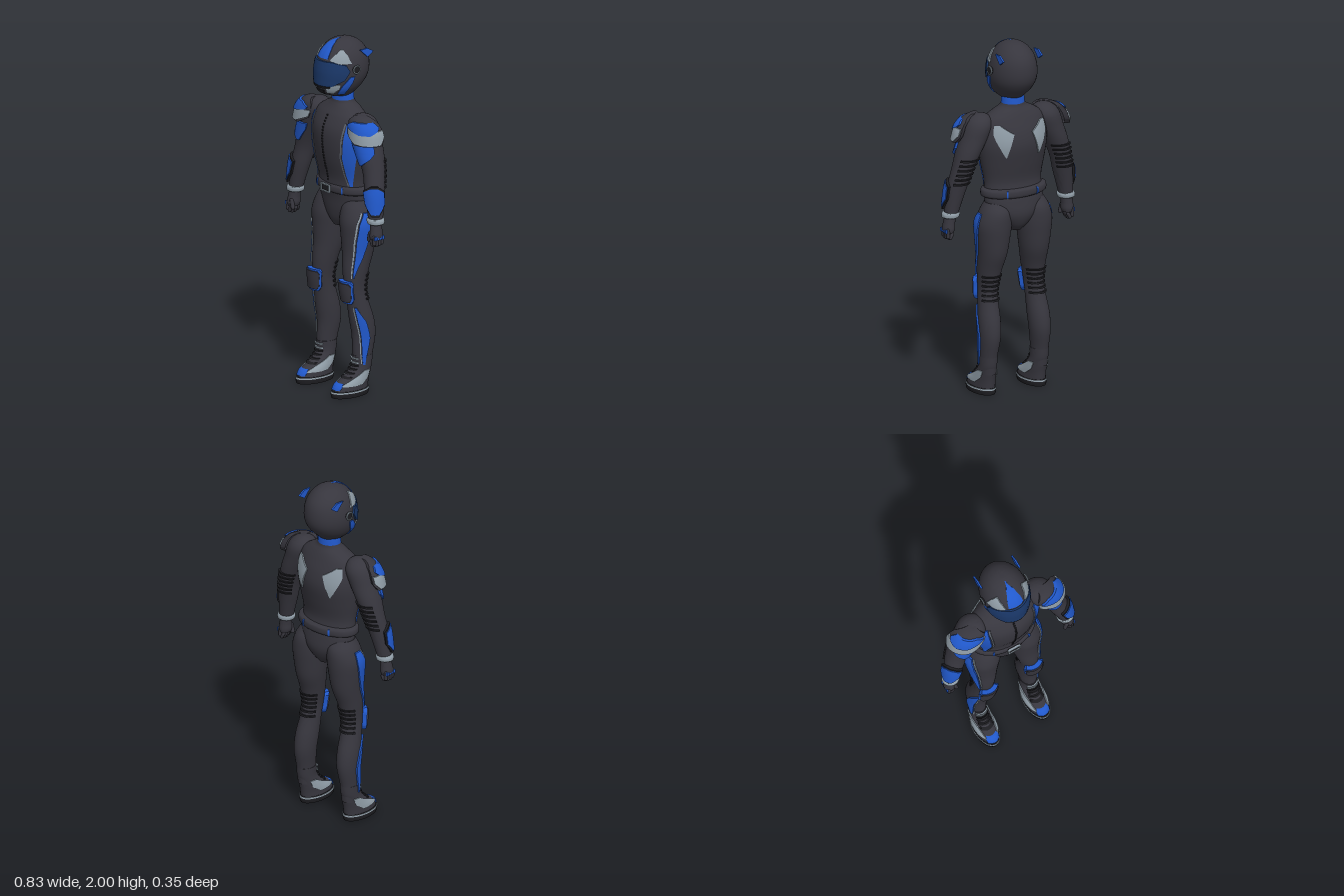
import * as THREE from 'three';
import { toCreasedNormals } from 'three/addons/utils/BufferGeometryUtils.js';

const paint = (name, color) => Object.assign(new THREE.MeshStandardMaterial({ color, side: THREE.DoubleSide }), { name });

// Cross-sections are [y, centreX, centreZ, radiusX, radiusZ], listed from top to bottom.
const TORSO = [[1.66, 0, -.02, .062, .055], [1.635, 0, -.02, .078, .062], [1.61, 0, -.02, .125, .077],
  [1.57, 0, -.015, .178, .1], [1.5, 0, -.012, .2, .128], [1.42, 0, -.015, .203, .135], [1.32, 0, -.013, .19, .12],
  [1.22, 0, -.015, .172, .098], [1.16, 0, -.02, .172, .1], [1.1, 0, -.03, .175, .1], [1.03, 0, -.035, .15, .1],
  [.97, 0, -.03, .09, .085], [.93, 0, -.025, .04, .06]];
const LEG = [[1.1, .1, -.03, .075, .07], [1.05, .115, -.035, .088, .095], [.98, .125, -.03, .1, .105],
  [.9, .128, -.028, .093, .1], [.8, .13, -.022, .08, .09], [.7, .137, -.002, .066, .075], [.6, .143, .005, .053, .063],
  [.52, .148, -.008, .055, .063], [.42, .153, -.03, .06, .072], [.33, .156, -.042, .057, .07],
  [.22, .16, -.032, .047, .06], [.12, .16, -.03, .042, .05]];
const BOOT = [[.22, .16, -.03, .049, .062], [.17, .16, -.027, .048, .06], [.14, .159, -.015, .05, .064],
  [.1, .158, .012, .056, .082], [.07, .158, .04, .06, .105], [.03, .158, .052, .062, .113]];
const SOLE = [[.038, .158, .053, .064, .117], [.02, .158, .053, .066, .121], [0, .158, .053, .063, .117]];
const ARM = [[1.61, .2, -.005, .02, .02], [1.6, .2, -.005, .045, .045], [1.575, .205, -.005, .07, .07],
  [1.54, .213, -.005, .081, .082], [1.48, .235, -.005, .078, .08], [1.4, .27, -.005, .07, .075],
  [1.3, .305, 0, .06, .062], [1.2, .33, .015, .056, .055], [1.1, .35, .025, .045, .045], [1.03, .362, .03, .038, .038]];
const PAD = [[1.615, .2, 0, .04, .04], [1.59, .21, 0, .085, .075], [1.54, .235, 0, .105, .09], [1.45, .255, 0, .11, .1]];
const PALM = [[1.04, .362, .03, .033, .03], [1, .368, .033, .033, .034], [.965, .371, .035, .035, .038], [.945, .371, .035, .028, .034]];
const HELMET = [[2, 0, -.02, .004, .004], [1.992, 0, -.02, .042, .05], [1.965, 0, -.02, .082, .1], [1.915, 0, -.019, .115, .14],
  [1.85, 0, -.016, .13, .156], [1.79, 0, -.01, .128, .154], [1.74, 0, .004, .112, .138], [1.705, 0, .012, .088, .11], [1.68, 0, 0, .06, .07]];

// Smooth section at height y
function section(secs, y) {
  let i = 0;
  while (i < secs.length - 2 && y < secs[i + 1][0]) i++;
  const a = secs[i], b = secs[i + 1], h = b[0] - a[0], t = THREE.MathUtils.clamp((y - a[0]) / h, 0, 1);
  const slope = (n, k) => {
    const p = secs[Math.max(n - 1, 0)], q = secs[Math.min(n + 1, secs.length - 1)];
    return (q[k] - p[k]) / (q[0] - p[0]) * h;
  };
  return a.map((v, k) => (2 * t ** 3 - 3 * t * t + 1) * v + (t ** 3 - 2 * t * t + t) * slope(i, k)
    + (3 * t * t - 2 * t ** 3) * b[k] + (t ** 3 - t * t) * slope(i + 1, k));
}

// Angle 0 faces the front, 90 faces +x
function onSurface(secs, y, deg, off = 0) {
  const s = section(secs, y), a = THREE.MathUtils.degToRad(deg);
  return [s[1] + (s[3] + off) * Math.sin(a), y, s[2] + (s[4] + off) * Math.cos(a)];
}

function grid(rows) {
  const g = new THREE.BufferGeometry(), w = rows[0].length, index = [];
  for (let i = 0; i < rows.length - 1; i++) for (let j = 0; j < w - 1; j++) {
    const a = i * w + j, c = a + w;
    index.push(a, c, a + 1, a + 1, c, c + 1);
  }
  g.setAttribute('position', new THREE.Float32BufferAttribute(rows.flat(2), 3));
  g.setIndex(index);
  return toCreasedNormals(g, .75);
}

const between = (list, n) => list.flatMap((a, i) => i === list.length - 1 ? [a]
  : Array.from({ length: n }, (_, k) => a.map((v, m) => v + (list[i + 1][m] - v) * k / n)));

// Closed body skinned over the cross-sections
function loft(secs) {
  const ring = s => Array.from({ length: 37 }, (_, j) => onSurface(secs, s[0], j * 10));
  const cap = s => Array.from({ length: 37 }, () => [s[1], s[0], s[2]]);
  return grid([cap(secs[0]), ...between(secs, 4).map(ring), cap(secs[secs.length - 1])]);
}

// Thin plate hugging a body; rows are [y, startAngle, endAngle]
function plate(secs, rows, off = .006, sink = -.003) {
  const line = ([y, a, b], o) => {
    const mid = Array.from({ length: 11 }, (_, j) => onSurface(secs, y, a + (b - a) * j / 10, o));
    return [onSurface(secs, y, a, sink), ...mid, onSurface(secs, y, b, sink)];
  };
  const all = between(rows, 4);
  return grid([line(all[0], sink), ...all.map(r => line(r, off)), line(all[all.length - 1], sink)]);
}

function mirrored(geo) {
  const g = (geo.index ? geo.toNonIndexed() : geo.clone()).scale(-1, 1, 1);
  const n = g.attributes.position.count;
  g.setIndex(Array.from({ length: n }, (_, i) => i % 3 === 0 ? i : i % 3 === 1 ? i + 1 : i - 1));
  return g;
}

export function createModel() {
  const root = new THREE.Group();
  const suit = paint('charcoal suit', 0x37363e), black = paint('black rubber', 0x1d1d21), blue = paint('racing blue', 0x2159cc);
  const silver = paint('silver grey', 0x8f9ca6), glass = paint('navy visor', 0x1a3768), grey = paint('grey stitching', 0x5c626b);
  const add = (name, geo, mat) => {
    const m = new THREE.Mesh(geo, mat);
    m.name = name;
    root.add(m);
  };
  const pair = (name, geo, mat) => {
    add(name + 'Left', geo, mat);
    add(name + 'Right', mirrored(geo), mat);
  };
  const box = (w, h, d, x, y, z) => new THREE.BoxGeometry(w, h, d).translate(x, y, z);

  // Torso, collar and back panels
  add('torso', loft(TORSO), suit);
  add('collar', loft([[1.71, 0, -.02, .058, .05], [1.69, 0, -.02, .064, .055], [1.645, 0, -.02, .067, .058]]), blue);
  const side = [[1.55, 49, 57], [1.45, 43, 66], [1.35, 41, 70], [1.25, 47, 66], [1.185, 55, 62]];
  pair('torsoStripe', plate(TORSO, side), blue);
  pair('torsoStitching', plate(TORSO, side.map(([y, a]) => [y, a - 5, a - 2]), .004), grey);
  pair('backPanel', plate(TORSO, [[1.55, 128, 140], [1.5, 128, 164], [1.46, 134, 160], [1.37, 149, 151]]), silver);
  for (let y = 1.2; y < 1.58; y += .016) {
    const [x, , z] = onSurface(TORSO, y, 0);
    add('zipTooth', box(.01, .009, .008, x, y, z), black);
  }

  // Belt
  const BELT = [[1.18, 0, -.025, .178, .105], [1.172, 0, -.026, .192, .115], [1.138, 0, -.026, .194, .116], [1.13, 0, -.027, .178, .105]];
  add('belt', loft(BELT), suit);
  for (const a of [33, 150]) pair('beltLoop', plate(BELT, [[1.175, a, a + 3], [1.135, a, a + 3]], .005), blue);
  for (const s of [-1, 1]) {
    add('buckleSide', box(.007, .044, .012, s * .035, 1.155, .1), silver);
    add('buckleBar', box(.077, .007, .012, 0, 1.155 + s * .019, .1), silver);
  }
  add('buckleCentre', box(.064, .034, .016, 0, 1.155, .092), black);

  // Legs
  pair('leg', loft(LEG), suit);
  const thigh = [[1.04, 72, 96], [.98, 58, 98], [.88, 50, 88], [.78, 48, 74], [.67, 46, 52]];
  const shin = [[.5, 38, 48], [.42, 42, 78], [.32, 48, 88], [.24, 55, 84], [.17, 62, 74]];
  for (const [name, rows] of [['thigh', thigh], ['shin', shin]]) {
    pair(name + 'Stripe', plate(LEG, rows, .009), blue);
    pair(name + 'Stitching', plate(LEG, rows.map(([y, a]) => [y, a - 9, a - 4]), .005), silver);
  }
  pair('kneePadRim', plate(LEG, [[.652, -38, 38], [.635, -50, 50], [.55, -46, 46], [.525, -32, 32]], .025), blue);
  pair('kneePad', plate(LEG, [[.642, -32, 32], [.625, -42, 42], [.555, -38, 38], [.535, -27, 27]], .032), suit);
  for (let y = .54; y < .68; y += .027) pair('kneeRib', plate(LEG, [[y + .005, 115, 245], [y - .005, 115, 245]], .008), black);

  // Boots
  pair('boot', loft(BOOT), suit);
  pair('sole', loft(SOLE), black);
  pair('soleLine', plate(SOLE, [[.035, 0, 180], [.027, 0, 180]], .003), silver);
  pair('soleLineInner', plate(SOLE, [[.035, 180, 360], [.027, 180, 360]], .003), silver);
  const heel = [[.14, 85, 120], [.1, 50, 122], [.065, 30, 105]];
  pair('bootPanel', plate(BOOT, heel), silver);
  pair('bootPanelInner', plate(BOOT, heel.map(([y, a, b]) => [y, -b, -a])), silver);
  pair('toeCap', plate(BOOT, [[.08, -30, 30], [.065, -36, 36], [.046, -32, 32]], .007), blue);
  for (const y of [.105, .125, .145, .165]) pair('lace', plate(BOOT, [[y + .004, -42, 42], [y - .004, -42, 42]], .009), black);
  for (const y of [.182, .205]) pair('ankleStrap', plate(BOOT, [[y + .004, -40, 40], [y - .004, -40, 40]], .008), silver);

  // Arms and shoulder armour
  pair('arm', loft(ARM), suit);
  pair('shoulderPad', plate(PAD, [[1.61, -10, 95], [1.58, -30, 112], [1.53, -38, 118], [1.5, -34, 116], [1.465, 0, 98]], 0, -.03), suit);
  pair('shoulderBand', plate(PAD, [[1.545, -36, 112], [1.51, -34, 112], [1.472, 8, 92]], .007), silver);
  pair('shoulderPlate', plate(PAD, [[1.587, 8, 88], [1.565, -22, 98], [1.55, -20, 90], [1.527, 25, 60]], .012), blue);
  pair('upperArmPlate', plate(ARM, [[1.46, -28, 75], [1.42, -30, 72], [1.39, -22, 50], [1.35, -12, 2]], .013), blue);
  pair('forearmRim', plate(ARM, [[1.245, 35, 70], [1.215, -12, 108], [1.14, -8, 112], [1.08, 30, 75]], .014), black);
  pair('forearmGuard', plate(ARM, [[1.235, 35, 68], [1.21, -4, 100], [1.145, 0, 104], [1.092, 32, 72]], .019), blue);
  for (let y = 1.23; y < 1.37; y += .027) pair('elbowRib', plate(ARM, [[y + .005, 125, 235], [y - .005, 125, 235]], .009), black);

  // Gloves
  pair('cuff', loft([[1.063, .359, .03, .04, .04], [1.058, .359, .03, .049, .047], [1.035, .362, .03, .049, .047], [1.03, .362, .03, .04, .04]]), silver);
  pair('palm', loft(PALM), suit);
  for (let i = 0; i < 4; i++) {
    const z = .009 + i * .0175, drop = i === 0 || i === 3 ? .006 : 0;
    pair('finger', new THREE.CapsuleGeometry(.0105, .04, 4, 8).translate(.388, .938 + drop, z), suit);
    pair('fingertip', new THREE.CapsuleGeometry(.01, .022, 4, 8).rotateZ(.5).translate(.368, .92 + drop, z), suit);
    pair('knuckle', box(.012, .02, .013, .398, .957, z), blue);
  }
  pair('thumb', new THREE.CapsuleGeometry(.012, .04, 4, 8).rotateZ(-.25).translate(.348, .96, .062), suit);

  // Helmet with visor, crest, cheek panels and side fins
  add('helmet', loft(HELMET), suit);
  add('visor', plate(HELMET, [[1.892, -35, 35], [1.875, -66, 66], [1.84, -74, 74], [1.79, -64, 64], [1.755, -38, 38]], .01), glass);
  add('visorLip', plate(HELMET, [[1.752, -36, 36], [1.742, -34, 34]], .01), black);
  add('crest', plate(HELMET, [[1.998, -8, 8], [1.985, -20, 20], [1.95, -23, 23], [1.905, -22, 22]], .004), blue);
  add('mouthVent', plate(HELMET, [[1.73, -18, 18], [1.695, -14, 14]], .006), black);
  pair('brow', plate(HELMET, [[1.955, 52, 58], [1.925, 36, 70], [1.9, 28, 74], [1.882, 52, 78]], .006), silver);
  pair('cheekPanel', plate(HELMET, [[1.765, 48, 58], [1.74, 24, 58], [1.71, 26, 46]], .006), silver);
  pair('jawPanel', plate(HELMET, [[1.805, 76, 86], [1.76, 64, 84], [1.7, 56, 78]], .006), blue);
  pair('earRing', new THREE.TorusGeometry(.022, .004, 8, 24).rotateY(Math.PI / 2).translate(.139, 1.845, -.01), silver);
  pair('earDisc', new THREE.CylinderGeometry(.021, .021, .03, 24).rotateZ(Math.PI / 2).translate(.126, 1.845, -.01), black);
  const fin = new THREE.Shape([[.045, 1.945], [.095, 1.948], [.135, 1.925], [.095, 1.898]].map(p => new THREE.Vector2(...p)));
  pair('helmetFin', new THREE.ExtrudeGeometry(fin, { depth: .01, bevelEnabled: false }).rotateY(Math.PI / 2).translate(.115, 0, 0), blue);
  return root;
}
